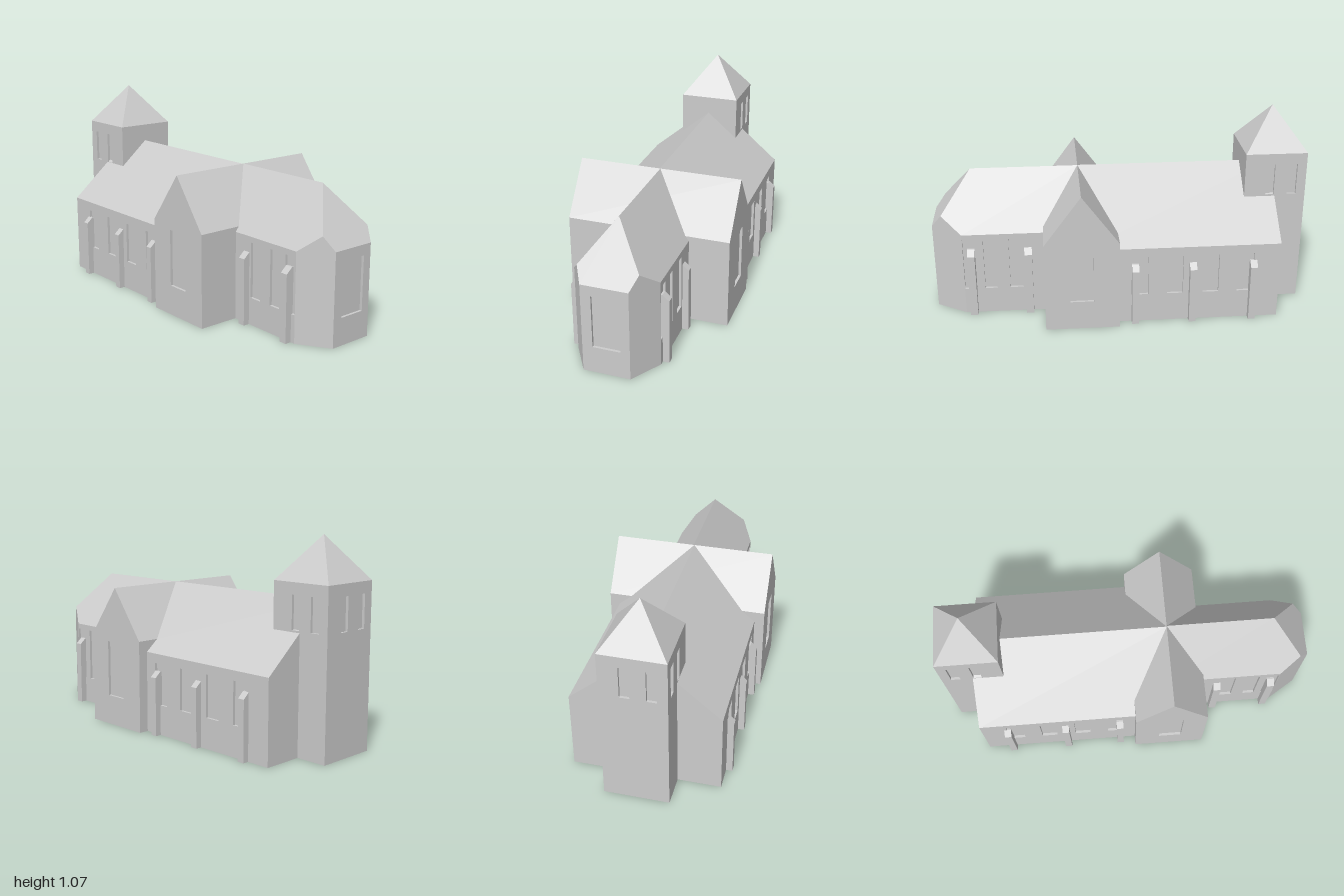
import * as THREE from 'three';
import { mergeGeometries } from 'three/addons/utils/BufferGeometryUtils.js';

const stone = new THREE.MeshStandardMaterial({ color: 0xcccccc, side: THREE.DoubleSide });
stone.name = 'pale stone';
const RECESS = 0.014;

// flat convex polygon, corners counter-clockwise from outside
function poly(...pts) {
  const pos = [];
  for (let i = 1; i < pts.length - 1; i++) pos.push(...pts[0], ...pts[i], ...pts[i + 1]);
  const g = new THREE.BufferGeometry();
  g.setAttribute('position', new THREE.Float32BufferAttribute(pos, 3));
  g.computeVertexNormals();
  return g;
}

// strip a geometry to bare flat-shaded triangles so that pieces merge
function bare(geo) {
  const g = geo.index ? geo.toNonIndexed() : geo;
  g.deleteAttribute('uv');
  return g;
}

// vertical wall from a to b ([x, z], a on the left seen from outside);
// windows are [from, to, bottom, top] along the wall's own world axis
function wall(a, b, height, windows = [], peak = 0) {
  const axis = Math.abs(a[0] - b[0]) > 1e-6 ? 0 : 1;
  const u = new THREE.Vector3(b[0] - a[0], 0, b[1] - a[1]);
  const len = u.length();
  u.normalize();
  const outline = [[0, 0], [len, 0], [len, height]];
  if (peak) outline.push([len / 2, peak]);
  outline.push([0, height]);
  const v2 = (p) => new THREE.Vector2(...p);
  const shape = new THREE.Shape(outline.map(v2));
  const parts = [];
  for (const [from, to, y0, y1] of windows) {
    const [s0, s1] = [from, to].map((c) => Math.abs(c - a[axis])).sort((p, q) => p - q);
    const c = [[s0, y0], [s1, y0], [s1, y1], [s0, y1]];
    shape.holes.push(new THREE.Path(c.map(v2)));
    // sunken pane and its four reveals
    parts.push(poly(...c.map((p) => [...p, -RECESS])));
    c.forEach((p, i) => {
      const q = c[(i + 1) % 4];
      parts.push(poly([...p, 0], [...q, 0], [...q, -RECESS], [...p, -RECESS]));
    });
  }
  parts.push(bare(new THREE.ShapeGeometry(shape)));
  const up = new THREE.Vector3(0, 1, 0);
  const m = new THREE.Matrix4().makeBasis(u, up, u.clone().cross(up)).setPosition(a[0], 0, a[1]);
  return mergeGeometries(parts).applyMatrix4(m);
}

// buttress with a sloping cap, standing against a wall at z = face
function buttress(x, width, face, depth, low, high, side) {
  const s = new THREE.Shape();
  s.moveTo(-0.01, 0).lineTo(depth, 0).lineTo(depth, low).lineTo(0, high).lineTo(-0.01, high);
  const g = new THREE.ExtrudeGeometry(s, { depth: width, bevelEnabled: false });
  g.rotateY(side > 0 ? -Math.PI / 2 : Math.PI / 2);
  g.translate(x + side * width / 2, 0, face);
  return g;
}

export function createModel() {
  const model = new THREE.Group();
  const add = (name, ...geos) => {
    const mesh = new THREE.Mesh(mergeGeometries(geos.map(bare)), stone);
    mesh.name = name;
    model.add(mesh);
  };
  const floor = (x0, x1, z0, z1) => poly([x0, 0, z0], [x1, 0, z0], [x1, 0, z1], [x0, 0, z1]);
  const RIDGE = 0.755, CROSS = 0.215;

  // nave
  const nx = -0.835, nz = 0.387, ne = 0.43;
  const naveWin = [[-0.695, -0.61], [-0.51, -0.425], [-0.32, -0.235], [-0.135, -0.045]]
    .map((w) => [...w, 0.16, 0.38]);
  add('naveWalls',
    wall([nx, nz], [CROSS, nz], ne, naveWin),
    wall([CROSS, -nz], [nx, -nz], ne, naveWin),
    wall([nx, -nz], [nx, nz], ne, [], RIDGE),
    floor(nx, CROSS, -nz, nz));
  add('naveRoof',
    poly([nx, ne, nz], [CROSS, ne, nz], [CROSS, RIDGE, 0], [nx, RIDGE, 0]),
    poly([CROSS, ne, -nz], [nx, ne, -nz], [nx, RIDGE, 0], [CROSS, RIDGE, 0]));

  // transept
  const x0 = 0.02, x1 = 0.41, tz = 0.44, te = 0.49;
  const tall = [[0.155, 0.28, 0.16, 0.46]];
  add('transeptWalls',
    wall([x0, tz], [x1, tz], te, tall, RIDGE),
    wall([x1, -tz], [x0, -tz], te, tall, RIDGE),
    wall([x1, tz], [x1, -tz], te),
    wall([x0, -tz], [x0, tz], te),
    floor(x0, x1, -tz, tz));
  add('transeptRoof',
    poly([x1, te, tz], [x1, te, -tz], [CROSS, RIDGE, -tz], [CROSS, RIDGE, tz]),
    poly([x0, te, -tz], [x0, te, tz], [CROSS, RIDGE, tz], [CROSS, RIDGE, -tz]));

  // chancel with chamfered corners and a hipped end
  const cz = -0.004, cw = 0.221, cn = 0.122, ce = 0.465, ee = 0.48, cx = 0.84;
  const chancelWin = [[0.525, 0.595], [0.665, 0.73], [0.77, 0.838]].map((w) => [...w, 0.145, 0.435]);
  const F = cz + cw, B = cz - cw, f = cz + cn, b = cz - cn;
  const hipF = [0.946, 0.551, cz + 0.1556], hipB = [0.946, 0.551, cz - 0.1556];
  const top0 = [CROSS, RIDGE, cz], top1 = [0.79, RIDGE, cz];
  add('chancelWalls',
    wall([CROSS, F], [cx, F], ce, chancelWin),
    wall([cx, B], [CROSS, B], ce, chancelWin),
    wall([1, f], [1, b], ee, [[-0.08, 0.065, 0.143, 0.425]]),
    poly([cx, 0, F], [1, 0, f], [1, ee, f], hipF, [cx, ce, F]),
    poly([1, 0, b], [cx, 0, B], [cx, ce, B], hipB, [1, ee, b]),
    poly([CROSS, 0, B], [cx, 0, B], [1, 0, b], [1, 0, f], [cx, 0, F], [CROSS, 0, F]));
  add('chancelRoof',
    poly([CROSS, ce, F], [cx, ce, F], hipF, top1, top0),
    poly(top0, top1, hipB, [cx, ce, B], [CROSS, ce, B]),
    poly([1, ee, f], [1, ee, b], hipB, top1, hipF));

  // tower
  const l = -1, r = -0.67, n = 0.163, s = -0.172, th = 0.85;
  const bell = [[-0.95, -0.9], [-0.83, -0.785]].map((w) => [...w, 0.62, 0.79]);
  const bellEnd = [[-0.07, -0.02], [0.06, 0.11]].map((w) => [...w, 0.62, 0.79]);
  add('towerWalls',
    wall([l, n], [r, n], th, bell),
    wall([r, s], [l, s], th, bell),
    wall([l, s], [l, n], th, bellEnd),
    wall([r, n], [r, s], th),
    floor(l, r, s, n));
  const rim = [[l, th, n], [r, th, n], [r, th, s], [l, th, s]];
  const apex = [(l + r) / 2, 1.07, (n + s) / 2];
  add('towerRoof', ...rim.map((p, i) => poly(p, rim[(i + 1) % 4], apex)));

  // buttresses on both long sides
  for (const side of [1, -1]) {
    const end = side > 0 ? 'front' : 'back';
    for (const x of [-0.692, -0.37, -0.066])
      add(end + 'NaveButtress', buttress(x, 0.037, side * nz, 0.033, 0.31, 0.34, side));
    for (const x of [0.493, 0.795])
      add(end + 'ChancelButtress', buttress(x, 0.04, side > 0 ? F : B, 0.034, 0.352, 0.382, side));
  }
  return model;
}
